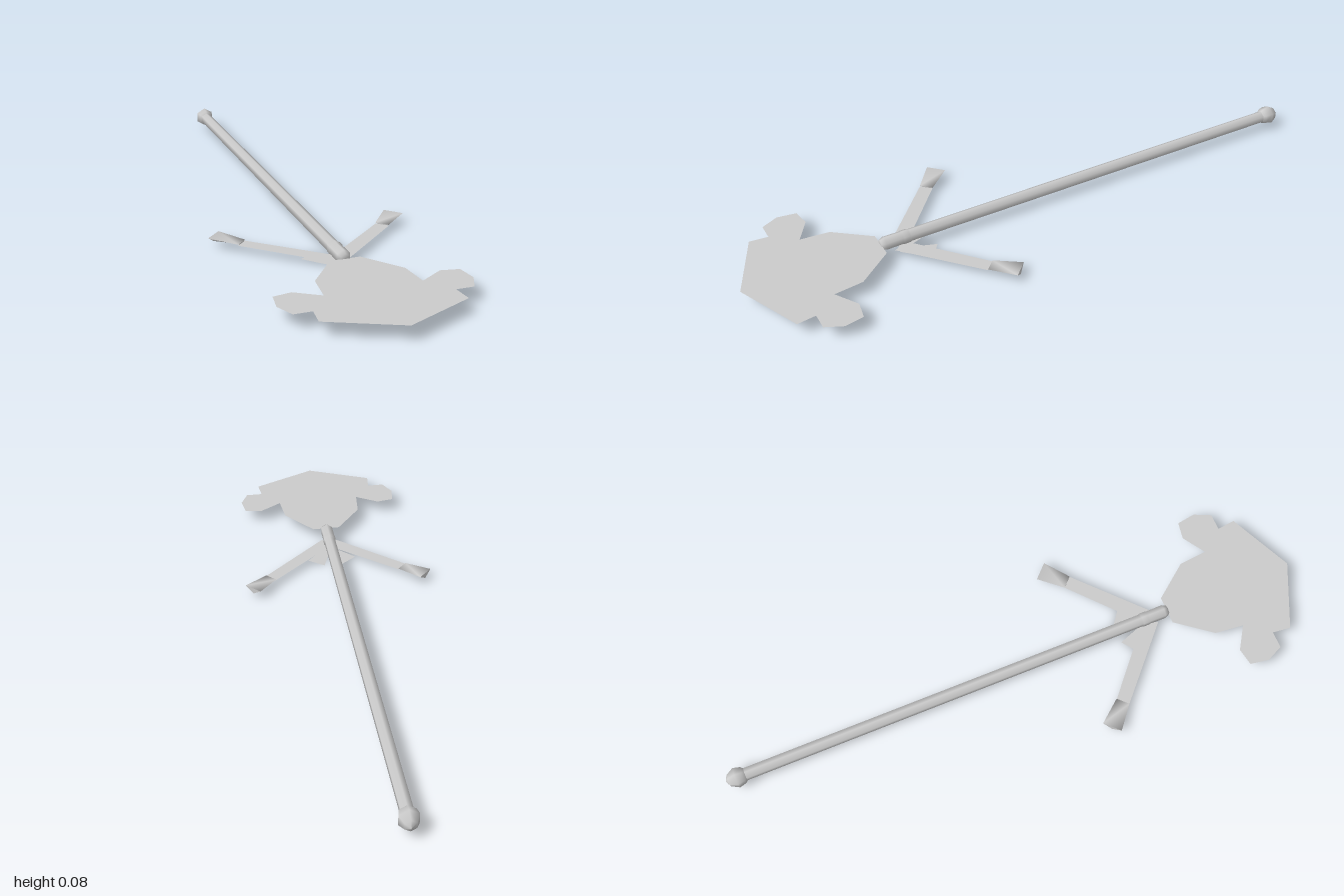
import * as THREE from 'three';

const AXIS_Y = 0.046; // height of the pole's centre line

export function createModel() {
  const model = new THREE.Group();
  const solid = new THREE.MeshStandardMaterial({ color: 0xcccccc });
  const cloth = new THREE.MeshStandardMaterial({ color: 0xcccccc, side: THREE.DoubleSide });

  const add = (name, geometry, material) => {
    const mesh = new THREE.Mesh(geometry, material);
    mesh.name = name;
    model.add(mesh);
    return mesh;
  };

  // Six-sided turned part along z; profile is [radius, z]
  const turned = (name, profile) => {
    const g = new THREE.LatheGeometry(profile.map(([r, z]) => new THREE.Vector2(r, z)), 6);
    g.rotateX(Math.PI / 2);
    add(name, g, solid).position.y = AXIS_Y;
  };

  // Flat cloth panel from [x, z] corners
  const panel = (name, points, y) => {
    const g = new THREE.ShapeGeometry(new THREE.Shape(points.map(([x, z]) => new THREE.Vector2(x, -z))));
    g.rotateX(-Math.PI / 2);
    const mesh = add(name, g, cloth);
    mesh.position.y = y;
    return mesh;
  };

  // Pole, with a slight collar near its front end
  turned('pole', [
    [0.021, -0.95], [0.021, 0.45], [0.0235, 0.455], [0.0235, 0.475],
    [0.022, 0.48], [0.023, 0.535], [0.016, 0.55], [0, 0.55],
  ]);
  turned('knob', [
    [0, -1], [0.02, -0.99], [0.034, -0.965], [0.028, -0.942], [0.019, -0.932],
  ]);

  // Flat blade, mirrored from its +x half
  const half = [
    [0.047, 0.548], [0.137, 0.664], [0.147, 0.76], [0.222, 0.712], [0.28, 0.722],
    [0.29, 0.785], [0.264, 0.841], [0.208, 0.841], [0.215, 0.902],
  ];
  const mirrored = half.map(([x, z]) => [-x, z]).reverse();
  panel('blade', [...half, [0, 1], ...mirrored], AXIS_Y);

  // Ribbons and tassels on both sides
  for (const [side, s] of [['left', 1], ['right', -1]]) {
    const flip = (pts) => pts.map(([x, z]) => [s * x, z]);
    panel(side + 'Ribbon', flip([[0, 0.46], [0.02, 0.51], [0.248, 0.3], [0.218, 0.268]]), 0.022);
    panel(side + 'RibbonTail', flip([[0, 0.46], [0.01, 0.49], [0.085, 0.41], [0.032, 0.37]]), 0);

    // Flattened three-sided tassel with a level top, flaring outward
    const g = new THREE.CylinderGeometry(0.0375, 0.026, 0.098, 3);
    g.rotateX(Math.PI / 2);
    const p = g.attributes.position;
    for (let i = 0; i < p.count; i++) {
      const wide = p.getZ(i) > 0;
      p.setY(i, wide ? 0.025 + p.getY(i) * 0.37 : 0.023 + p.getY(i) * 0.15);
    }
    g.computeVertexNormals();
    const tassel = add(side + 'Tassel', g, solid);
    tassel.position.set(s * 0.266, 0, 0.25);
    tassel.rotation.y = s * Math.PI * 0.75;
  }
  return model;
}
